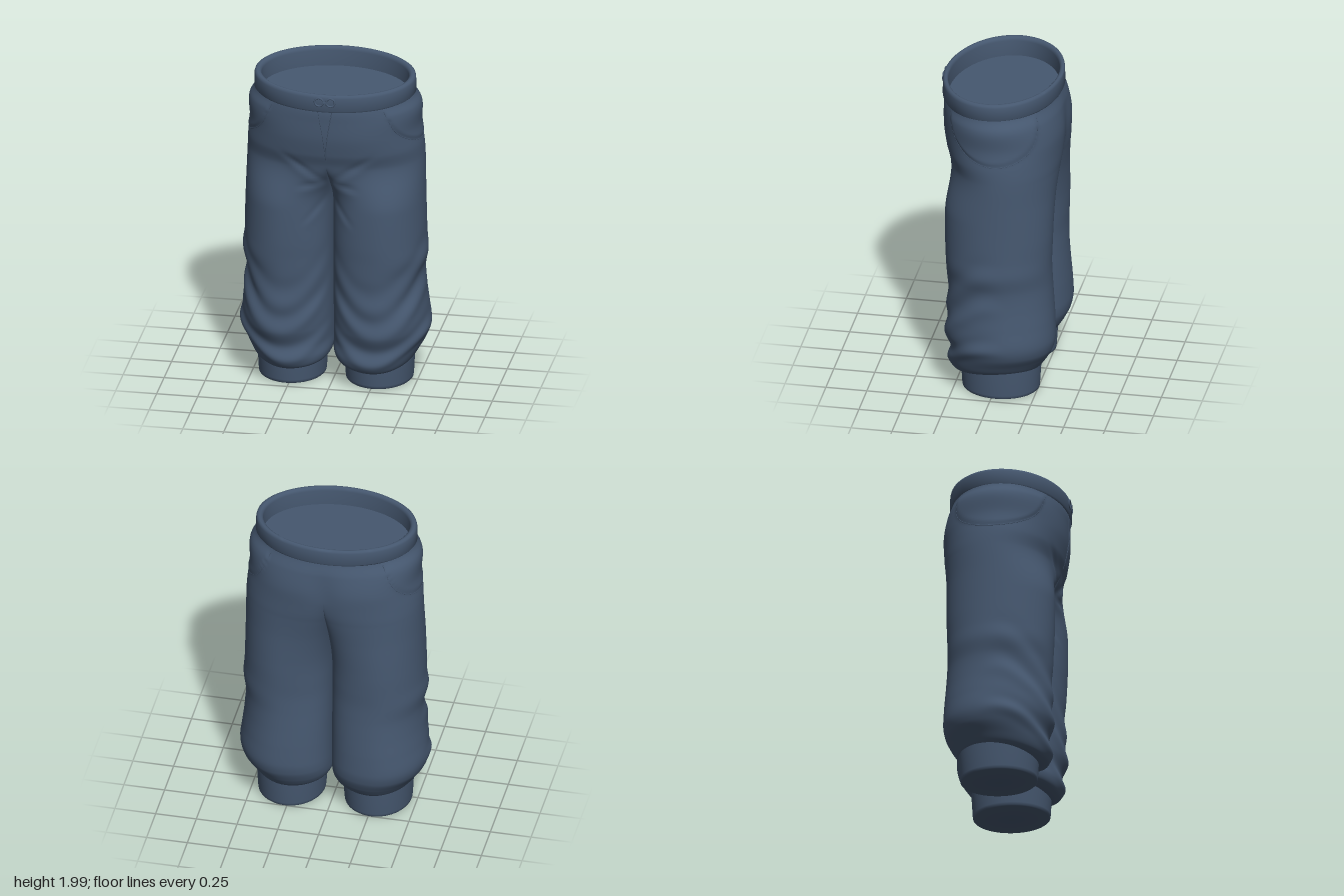
import * as THREE from 'three';
import { toCreasedNormals } from 'three/addons/utils/BufferGeometryUtils.js';

const { smoothstep, lerp } = THREE.MathUtils;
const denim = new THREE.MeshStandardMaterial({ color: 0x465870 });
denim.name = 'slate blue denim';

// Leg sections from waist to hem: y, outer x, inner x, front z, back z
const sections = [
  [1.92, 0.475, 0, 0.352, -0.335], [1.87, 0.492, 0, 0.362, -0.345], [1.8, 0.516, 0, 0.362, -0.367],
  [1.68, 0.513, 0, 0.357, -0.384], [1.56, 0.532, 0, 0.337, -0.38], [1.46, 0.538, 0, 0.308, -0.371],
  [1.3, 0.542, 0, 0.31, -0.355], [1.1, 0.547, 0, 0.312, -0.341], [0.95, 0.552, 0, 0.31, -0.335],
  [0.85, 0.558, 0, 0.305, -0.332], [0.74, 0.543, 0, 0.3, -0.335], [0.62, 0.547, 0, 0.295, -0.343],
  [0.5, 0.562, 0, 0.302, -0.352], [0.38, 0.575, 0, 0.3, -0.357], [0.29, 0.556, 0, 0.284, -0.346],
  [0.21, 0.518, 0.002, 0.288, -0.312], [0.16, 0.49, 0.02, 0.27, -0.28], [0.138, 0.465, 0.055, 0.225, -0.255],
  [0.145, 0.42, 0.1, 0.18, -0.22],
];
const sizeCurve = new THREE.CatmullRomCurve3(sections.map(s => new THREE.Vector3(s[0], s[1], s[2])));
const depthCurve = new THREE.CatmullRomCurve3(sections.map(s => new THREE.Vector3(s[3], s[4], 0)));

// Sagging folds across the lower leg: lowest y, rise at the edges, width, height
const sags = [[0.21, 0.16, 0.04, 0.012], [0.38, 0.26, 0.055, 0.013], [0.56, 0.28, 0.06, 0.007]];
// Creases fanning out of the crotch: x, y to x, y
const creases = [[0, 1.36, 0.3, 1.57], [0.02, 1.36, 0.2, 1.33], [0, 1.26, 0.16, 1.08]];

const bump = (d, w) => Math.exp(-((d / w) ** 2));
const pocketEdge = t => 1.9 - 0.31 * Math.sqrt(Math.max(0, 1 - (t / 1.2) ** 2));

function relief(t, x, u, y) {
  const front = smoothstep(Math.sin(t), -0.35, 0.5);
  let d = 0;
  for (const [y0, rise, w, h] of sags) {
    const dy = y - y0 - rise * (2 * u - 1) ** 2;
    d += h * front * (bump(dy, w) - 0.7 * bump(dy - 1.7 * w, w));
  }
  if (t > 0) for (const [x0, y0, x1, y1] of creases) {
    const dx = x1 - x0, dy = y1 - y0, l = Math.hypot(dx, dy);
    const along = ((x - x0) * dx + (y - y0) * dy) / l / l;
    const across = ((x - x0) * dy - (y - y0) * dx) / l;
    const fade = smoothstep(along, -0.2, 0.15) * (1 - smoothstep(along, 0.5, 1.1));
    d += fade * (0.005 * bump(across - 0.03, 0.03) - 0.009 * bump(across, 0.02));
  }
  // Patch pocket stands slightly proud of the hip
  if (Math.abs(t) < 1.2) d += 0.008 * smoothstep(y - pocketEdge(t), 0, 0.03) * (1 - smoothstep(y, 1.82, 1.88));
  return d;
}

// How far both legs have merged into the hips, at the front and the back
const frontJoin = y => smoothstep(y, 1.18, 1.48);
const backJoin = y => smoothstep(y, 1.0, 1.62);

// Point on the left trouser leg: t runs round the leg, v from waist to hem
function surface(t, v) {
  const { x: y, y: xo, z: xi } = sizeCurve.getPoint(v);
  const { x: zf, y: zb } = depthCurve.getPoint(v);
  const c = Math.cos(t), s = Math.sin(t), rx = (xo - xi) / 2, rz = (zf - zb) / 2;
  let x = xi + rx + rx * c;
  const u = Math.min(1, Math.max(0, (x - xi) / (xo - xi)));
  const join = t > 0 ? frontJoin(y) : backJoin(y);
  const seat = lerp(t > 0 ? 2.3 : 2.6, 2, smoothstep(y, 1.65, 1.88));
  const dip = t > 0 ? 0 : 0.035 * bump(u, 0.16) * (1 - smoothstep(y, 1.65, 1.88));
  const leg = Math.abs(s) ** (c < 0 ? 0.62 : 1);
  const h = lerp(leg, Math.sqrt(1 - u ** seat) * (1 - dip), join);
  let z = (zf + zb) / 2 + Math.sign(t) * rz * h;
  const d = relief(t, x, u, y);
  // The inner side keeps to the centre plane
  if (c > 0) x += c * d;
  z += s * d;
  const hem = 1 - smoothstep(y, 0.12, 0.4);
  const tilt = 0.045 * smoothstep(y, 1.5, 1.88) + 0.09 * hem;
  return new THREE.Vector3(x, y - tilt * z + 0.03 * hem * (2 * u - 1) ** 2, z);
}

function legGeometry(side) {
  const rows = 170, cols = 96, pos = [], index = [];
  for (let j = 0; j <= rows; j++) for (let i = 0; i <= cols; i++) {
    const t = (i / cols * 2 - 1) * Math.PI;
    const p = surface(t, j / rows);
    pos.push(p.x * side, p.y, p.z);
    if (i < cols && j < rows) {
      const a = j * (cols + 1) + i, b = a + 1, e = a + cols + 1, f = e + 1;
      if (side > 0) index.push(a, b, e, b, f, e);
      else index.push(a, e, b, b, e, f);
    }
  }
  const geo = new THREE.BufferGeometry();
  geo.setAttribute('position', new THREE.Float32BufferAttribute(pos, 3));
  geo.setIndex(index);
  geo.computeVertexNormals();
  // Soften the centre seam where both halves join at the hips
  const n = geo.attributes.normal, q = new THREE.Vector3();
  for (let j = 0; j <= rows; j++) for (const i of [0, cols]) {
    const k = j * (cols + 1) + i, y = sizeCurve.getPoint(j / rows).x;
    q.fromBufferAttribute(n, k);
    q.x *= 1 - (i ? frontJoin(y) : backJoin(y));
    q.normalize();
    n.setXYZ(k, q.x, q.y, q.z);
  }
  return geo;
}

// Row parameter for a height on the hips
function rowAt(y) {
  let a = 0, b = 0.5;
  for (let i = 0; i < 30; i++) {
    const m = (a + b) / 2;
    if (sizeCurve.getPoint(m).x > y) a = m; else b = m;
  }
  return a;
}

function seam(points, side, radius) {
  const path = points.map(([t, y]) => {
    const p = surface(t, rowAt(y));
    p.x *= side;
    return p;
  });
  return new THREE.TubeGeometry(new THREE.CatmullRomCurve3(path), 50, radius, 5);
}

export function createModel() {
  const model = new THREE.Group();
  model.name = 'trousers';
  const add = (name, geo) => {
    const mesh = new THREE.Mesh(geo, denim);
    mesh.name = name;
    model.add(mesh);
    return mesh;
  };

  // Waistband with its rolled rim, inner wall and closed floor
  const band = [[0.465, 1.874], [0.483, 1.876], [0.49, 1.886], [0.488, 1.965], [0.484, 1.978], [0.474, 1.985],
    [0.46, 1.984], [0.449, 1.976], [0.445, 1.96], [0.445, 1.862], [0.0001, 1.862]];
  const waist = new THREE.LatheGeometry(band.map(p => new THREE.Vector2(...p)), 96);
  waist.scale(1, 1, 0.74);
  waist.translate(0, 0, 0.009);
  const wp = waist.attributes.position;
  for (let i = 0; i < wp.count; i++) wp.setY(i, wp.getY(i) - 0.043 * wp.getZ(i));
  add('waistband', toCreasedNormals(waist, 0.9));

  // Clasp on the front of the waistband
  for (const s of [-1, 1]) {
    const ring = add('claspRing', new THREE.TorusGeometry(0.026, 0.006, 8, 24));
    ring.position.set(s * 0.035, 1.926, 0.37);
    ring.rotation.y = s * 0.05;
  }
  add('claspBar', new THREE.BoxGeometry(0.03, 0.01, 0.012)).position.set(0, 1.926, 0.371);

  for (const side of [1, -1]) {
    const word = side > 0 ? 'left' : 'right';
    add(word + 'Leg', legGeometry(side));

    // Ankle cuff, closed at the bottom
    const cuffProfile = [[0.0001, 0.006], [0.196, 0.008], [0.202, 0.014], [0.204, 0.03], [0.214, 0.22]];
    const cuff = new THREE.LatheGeometry(cuffProfile.map(p => new THREE.Vector2(...p)), 64);
    cuff.scale(1, 1, 1.15);
    cuff.translate(side * 0.265, 0, -0.025);
    add(word + 'Cuff', toCreasedNormals(cuff, 0.8));

    // Pocket stitching
    const arc = [];
    for (let i = 0; i <= 24; i++) {
      const t = 1.19 * Math.sin((i / 12 - 1) * Math.PI / 2);
      arc.push([t, pocketEdge(t)]);
    }
    add(word + 'PocketSeam', seam(arc, side, 0.0025));

    // Fly stitching narrowing towards the crotch
    const fly = [];
    for (let i = 0; i <= 8; i++) fly.push([Math.PI - lerp(0.6, 0.06, i / 8), lerp(1.88, 1.52, i / 8)]);
    add(word + 'FlySeam', seam(fly, side, 0.003));
  }
  return model;
}
